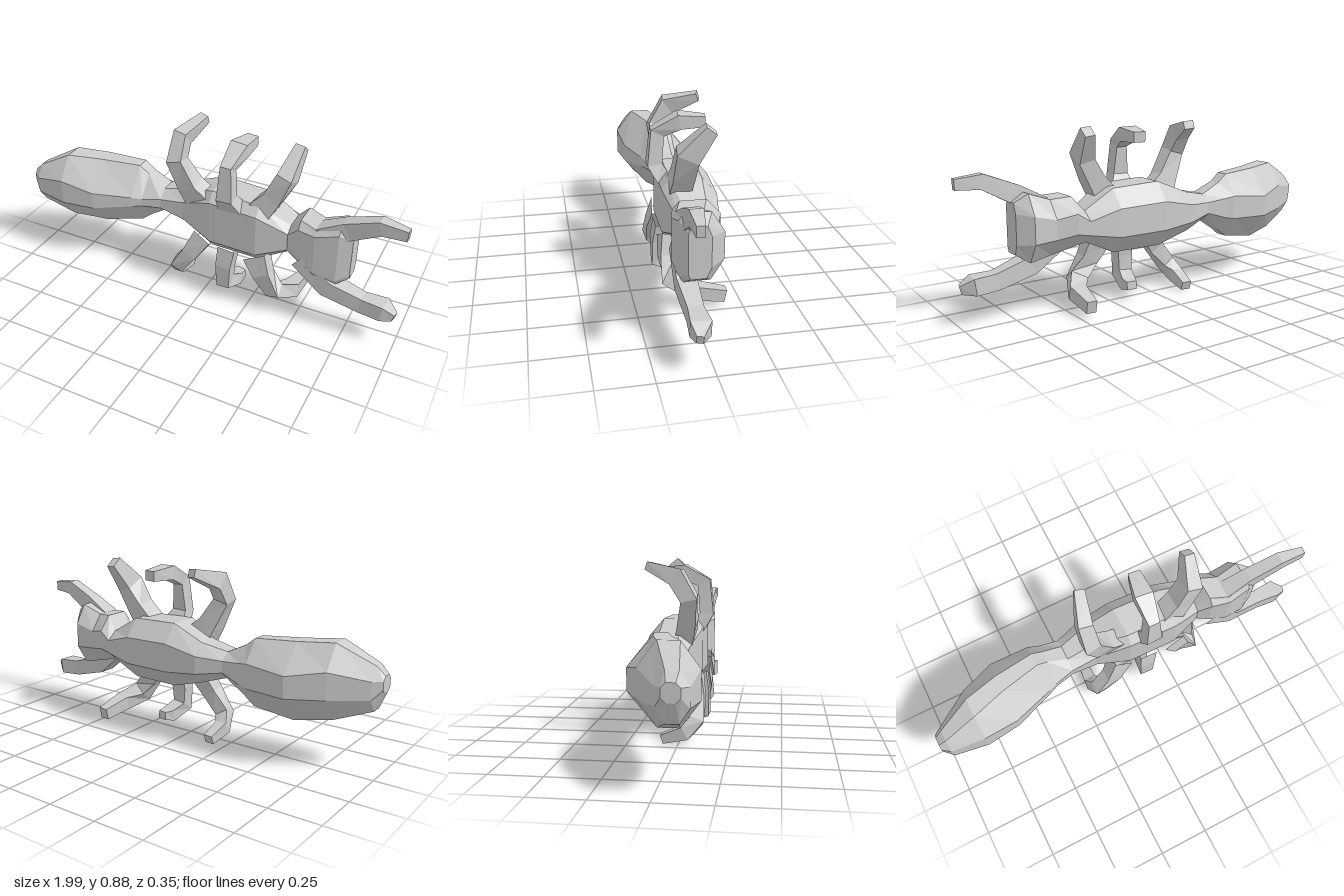
import * as THREE from 'three';

const material = new THREE.MeshStandardMaterial({ color: 0xcccccc, flatShading: true });

// Skin a list of equal-sized rings of Vector3; the far end is always closed.
function loft(name, rings, closeStart) {
  const pos = [];
  const tri = (...pts) => pts.forEach((p) => pos.push(p.x, p.y, p.z));
  const n = rings[0].length;
  const centre = (ring) => ring.reduce((s, p) => s.add(p), new THREE.Vector3()).divideScalar(n);
  const first = rings[0], last = rings[rings.length - 1];
  const c0 = centre(first), c1 = centre(last);
  for (let j = 0; j < n; j++) {
    const k = (j + 1) % n;
    for (let i = 0; i < rings.length - 1; i++) {
      const a = rings[i], b = rings[i + 1];
      tri(a[j], a[k], b[k]);
      tri(a[j], b[k], b[j]);
    }
    if (closeStart) tri(c0, first[k], first[j]);
    tri(c1, last[j], last[k]);
  }
  const geometry = new THREE.BufferGeometry();
  geometry.setAttribute('position', new THREE.Float32BufferAttribute(pos, 3));
  geometry.computeVertexNormals();
  const mesh = new THREE.Mesh(geometry, material);
  mesh.name = name;
  return mesh;
}

// Body along x; each section is [x, yMin, yMax, zMin, zMax, frontCut, backCut],
// the cuts being the share taken off the front and back corners.
function body(name, sections) {
  return loft(name, sections.map(([x, y0, y1, z0, z1, f, b]) =>
    [[1, b], [1, 1 - f], [1 - f, 1], [f, 1], [0, 1 - f], [0, b], [b, 0], [1 - b, 0]].map(([y, z]) =>
      new THREE.Vector3(x, y0 + y * (y1 - y0), z0 + z * (z1 - z0)))), true);
}

// Four-sided limb; each joint is [x, y, z, halfWidth, halfDepth].
function limb(name, joints, reference) {
  const pts = joints.map((j) => new THREE.Vector3(j[0], j[1], j[2]));
  return loft(name, pts.map((p, i) => {
    const t = pts[Math.min(i + 1, pts.length - 1)].clone().sub(pts[Math.max(i - 1, 0)]).normalize();
    const u = reference.clone().cross(t).normalize();
    const v = t.clone().cross(u);
    const [, , , w, d] = joints[i];
    return [[1, 1], [-1, 1], [-1, -1], [1, -1]].map(([a, b]) =>
      p.clone().addScaledVector(u, a * d).addScaledVector(v, b * w));
  }), false);
}

export function createModel() {
  const group = new THREE.Group();
  const X = new THREE.Vector3(1, 0, 0), Z = new THREE.Vector3(0, 0, 1);

  group.add(body('body', [
    // Abdomen
    [-1, 0.4, 0.48, 0.04, 0.12, 0.25, 0.25],
    [-0.96, 0.31, 0.52, 0.01, 0.15, 0.3, 0.3],
    [-0.79, 0.25, 0.61, -0.09, 0.175, 0.32, 0.32],
    [-0.62, 0.225, 0.6, -0.165, 0.155, 0.38, 0.36],
    [-0.42, 0.26, 0.59, -0.155, 0.09, 0.42, 0.32],
    [-0.37, 0.3, 0.55, -0.14, 0.07, 0.42, 0.3],
    // Waist and thorax
    [-0.27, 0.37, 0.5, -0.125, 0.05, 0.3, 0.28],
    [-0.14, 0.33, 0.53, -0.165, 0.05, 0.25, 0.28],
    [0.03, 0.28, 0.6, -0.175, 0.095, 0.15, 0.28],
    [0.28, 0.28, 0.59, -0.165, 0.1, 0.15, 0.28],
    // Neck and head
    [0.43, 0.35, 0.5, -0.14, 0.06, 0.2, 0.28],
    [0.49, 0.33, 0.57, -0.13, 0.09, 0.15, 0.3],
    [0.58, 0.3, 0.56, -0.1, 0.11, 0.1, 0.32],
    [0.69, 0.28, 0.6, -0.1, 0.1, 0.1, 0.3],
    [0.75, 0.32, 0.56, -0.03, 0.07, 0.1, 0.2],
  ]));

  // Antennae
  group.add(limb('upperAntenna', [
    [0.6, 0.52, 0.045, 0.045, 0.05], [0.72, 0.59, 0.05, 0.035, 0.045],
    [0.87, 0.66, 0.065, 0.03, 0.035], [0.99, 0.655, 0.075, 0.018, 0.025],
  ], Z));
  group.add(limb('lowerAntenna', [
    [0.51, 0.37, 0.045, 0.055, 0.05], [0.65, 0.25, 0.06, 0.045, 0.045],
    [0.82, 0.2, 0.055, 0.035, 0.04], [0.93, 0.195, 0.055, 0.045, 0.04],
    [0.985, 0.18, 0.07, 0.015, 0.02],
  ], Z));

  // Six legs, arching forward and back
  const legs = {
    upperRearLeg: [[-0.05, 0.52, 0.02, 0.07, 0.045], [-0.1, 0.59, 0.035, 0.05, 0.045],
      [-0.165, 0.72, 0.05, 0.04, 0.04], [-0.165, 0.82, -0.01, 0.035, 0.045], [-0.115, 0.87, -0.155, 0.025, 0.02]],
    upperMiddleLeg: [[0.14, 0.555, 0.07, 0.06, 0.035], [0.13, 0.62, 0.11, 0.04, 0.035],
      [0.13, 0.775, 0.095, 0.028, 0.035], [0.14, 0.83, -0.01, 0.045, 0.035], [0.155, 0.825, -0.13, 0.03, 0.025]],
    upperFrontLeg: [[0.27, 0.54, 0.02, 0.06, 0.05], [0.335, 0.63, 0.01, 0.045, 0.05],
      [0.39, 0.74, 0, 0.04, 0.055], [0.415, 0.865, -0.1, 0.025, 0.03]],
    lowerRearLeg: [[-0.01, 0.33, 0.06, 0.05, 0.04], [-0.075, 0.22, 0.085, 0.04, 0.035],
      [-0.15, 0.12, 0.085, 0.035, 0.035], [-0.175, 0.065, 0.03, 0.03, 0.035], [-0.165, 0.03, -0.08, 0.025, 0.022]],
    lowerMiddleLeg: [[0.13, 0.31, 0.075, 0.045, 0.035], [0.12, 0.21, 0.09, 0.04, 0.035],
      [0.12, 0.11, 0.09, 0.035, 0.04], [0.14, 0.075, 0.0, 0.035, 0.03], [0.15, 0.08, -0.05, 0.025, 0.02]],
    lowerFrontLeg: [[0.28, 0.31, 0.07, 0.06, 0.04], [0.325, 0.22, 0.085, 0.045, 0.035],
      [0.385, 0.13, 0.08, 0.045, 0.035], [0.44, 0.09, -0.02, 0.04, 0.035], [0.45, 0.06, -0.17, 0.025, 0.03]],
  };
  for (const [name, joints] of Object.entries(legs)) group.add(limb(name, joints, X));

  return group;
}
